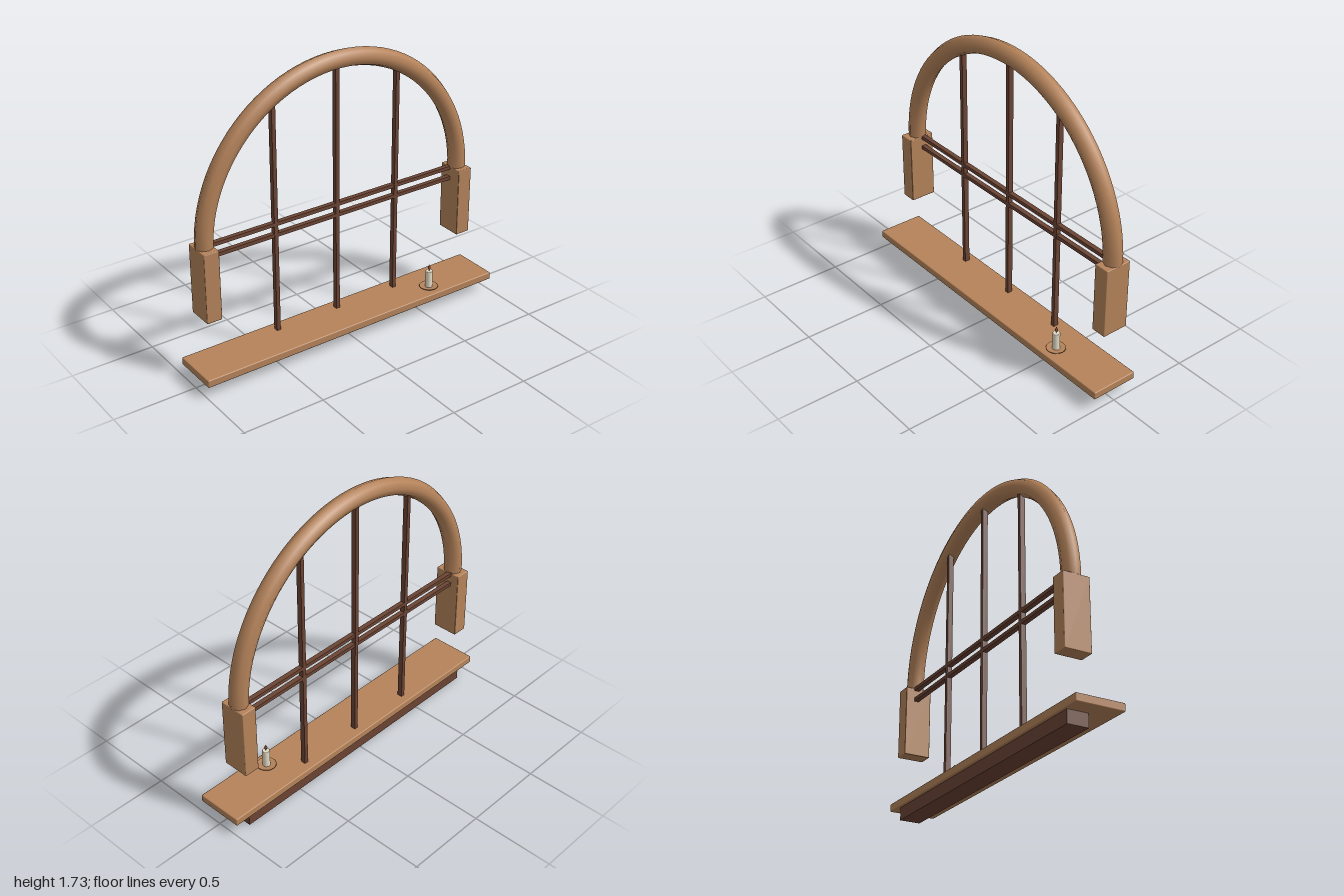
import * as THREE from 'three';
import { RoundedBoxGeometry } from 'three/addons/geometries/RoundedBoxGeometry.js';

const material = (name, color) => {
  const m = new THREE.MeshStandardMaterial({ color });
  m.name = name;
  return m;
};

export function createModel() {
  const group = new THREE.Group();
  const wood = material('light wood', 0xb5835a);
  const darkWood = material('dark wood', 0x6b4434);
  const wax = material('candle wax', 0xe8dfc8);
  const flameColor = material('flame', 0x8a5233);

  const add = (name, geometry, mat, x, y, z) => {
    const mesh = new THREE.Mesh(geometry, mat);
    mesh.name = name;
    mesh.position.set(x, y, z);
    group.add(mesh);
    return mesh;
  };
  // Box given by its extents, with optional softened edges
  const box = (name, mat, [x0, x1], [y0, y1], [z0, z1], bevel = 0) => {
    const size = [x1 - x0, y1 - y0, z1 - z0];
    const geometry = bevel
      ? new RoundedBoxGeometry(...size, 2, bevel)
      : new THREE.BoxGeometry(...size);
    return add(name, geometry, mat, (x0 + x1) / 2, (y0 + y1) / 2, (z0 + z1) / 2);
  };

  // Sill and the beam below it
  box('sill', wood, [-1, 1], [0.076, 0.122], [-0.143, 0.143], 0.006);
  box('sillBeam', darkWood, [-0.895, 0.895], [0, 0.078], [-0.126, -0.002]);

  // Half-round arch resting on two blocks
  add('arch', new THREE.TorusGeometry(0.868, 0.053, 8, 48, Math.PI), wood, 0, 0.804, -0.065);
  for (const side of [-1, 1]) {
    const xs = [side * 0.822, side * 0.916].sort((a, b) => a - b);
    box(side > 0 ? 'leftBlock' : 'rightBlock', wood, xs, [0.384, 0.808], [-0.144, 0.017], 0.005);
  }

  // Window bars
  for (const [x, top] of [[-0.413, 1.53], [0, 1.64], [0.413, 1.53]]) {
    box('uprightBar', darkWood, [x - 0.012, x + 0.012], [0.12, top], [-0.093, -0.062]);
  }
  for (const y of [0.735, 0.803]) {
    box('crossBar', darkWood, [-0.83, 0.83], [y - 0.011, y + 0.011], [-0.092, -0.063]);
  }

  // Candle on a saucer
  const lathe = (points, segments) =>
    new THREE.LatheGeometry(points.map(([r, y]) => new THREE.Vector2(r, y)), segments);
  const [cx, cz] = [0.583, 0.058];
  add('saucer', lathe([[0, 0], [0.045, 0], [0.057, 0.009], [0.055, 0.012], [0.042, 0.006], [0, 0.006]], 24),
    wood, cx, 0.122, cz);
  add('candle', lathe([[0.022, 0], [0.022, 0.104], [0.019, 0.108], [0, 0.106]], 20), wax, cx, 0.127, cz);
  add('wick', new THREE.CylinderGeometry(0.002, 0.002, 0.014, 6), darkWood, cx, 0.239, cz);
  add('flame', lathe([[0, 0], [0.006, 0.004], [0.009, 0.011], [0.006, 0.021], [0, 0.034]], 12),
    flameColor, cx, 0.241, cz);

  return group;
}
